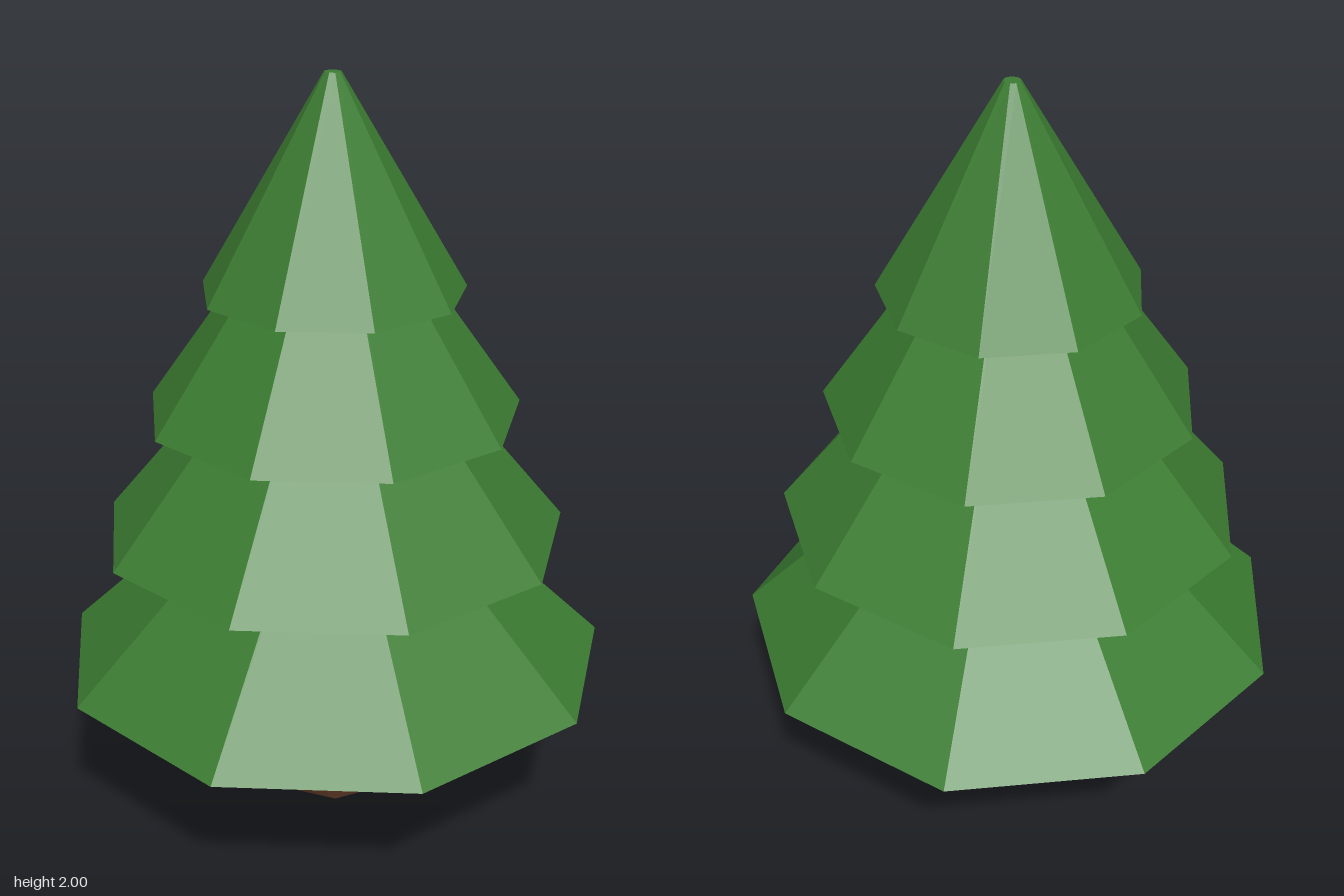
import * as THREE from 'three';

export function createModel() {
  const tree = new THREE.Group();
  tree.name = 'pineTree';

  const foliage = new THREE.MeshStandardMaterial({ color: 0x3c7d32, flatShading: true });
  foliage.name = 'foliage green';
  const bark = new THREE.MeshStandardMaterial({ color: 0x5c3826 });
  bark.name = 'bark brown';

  // Smooth, tapered eight-sided trunk, its top hidden in the lowest tier
  const profile = [[0, 0], [0.16, 0], [0.112, 0.42]].map(([r, y]) => new THREE.Vector2(r, y));
  const trunk = new THREE.Mesh(new THREE.LatheGeometry(profile, 8), bark);
  trunk.name = 'trunk';
  tree.add(trunk);

  // Stacked nine-sided cones: [bottom y, bottom radius, top y]
  const tiers = [
    [0.41, 0.75, 1.11],
    [0.78, 0.63, 1.52],
    [1.12, 0.5, 1.8],
    [1.445, 0.348, 2],
  ];
  tiers.forEach(([bottom, radius, top], i) => {
    const height = top - bottom;
    const geometry = new THREE.CylinderGeometry(0.022, radius, height, 9, 1, false, Math.PI);
    geometry.translate(0, bottom + height / 2, 0);
    const tier = new THREE.Mesh(geometry, foliage);
    tier.name = `foliageTier${i + 1}`;
    tree.add(tier);
  });

  // Centre the odd-sided outline on z = 0
  tree.children.forEach((part) => { part.position.z = 0.022; });
  return tree;
}
